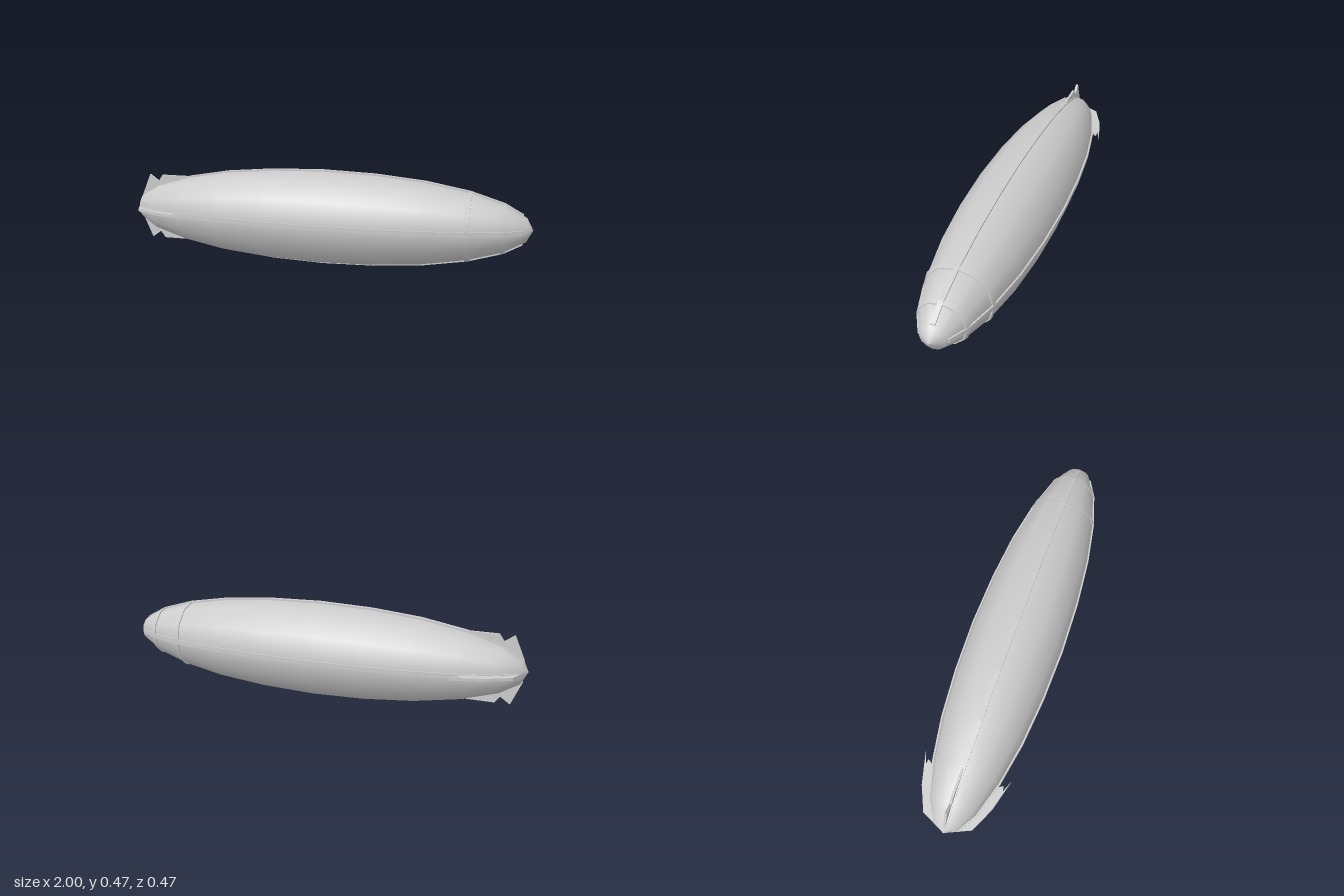
import * as THREE from 'three';

const AXIS_Y = 0.235;
// Hull profile: [x, radius]
const PROFILE = [
  [-1, 0], [-0.97, 0.06], [-0.88, 0.113], [-0.71, 0.163], [-0.5, 0.2], [-0.26, 0.222],
  [0, 0.23], [0.26, 0.222], [0.5, 0.2], [0.71, 0.163], [0.87, 0.114], [0.97, 0.058], [1, 0],
];

function radiusAt(x) {
  for (let i = 1; i < PROFILE.length; i++) {
    const [x0, r0] = PROFILE[i - 1], [x1, r1] = PROFILE[i];
    if (x <= x1) return r0 + (r1 - r0) * (x - x0) / (x1 - x0);
  }
  return 0;
}

// Twelve-sided lathe lying along x
function latheX(points) {
  const geo = new THREE.LatheGeometry(points.map(([x, r]) => new THREE.Vector2(r, x)), 12);
  return geo.rotateZ(-Math.PI / 2);
}

// Flat outline in (x, radius), given thickness and centred on its plane
function plate(points, thickness) {
  const shape = new THREE.Shape(points.map(([x, r]) => new THREE.Vector2(x, r)));
  const geo = new THREE.ExtrudeGeometry(shape, { depth: thickness, bevelEnabled: false });
  return geo.translate(0, 0, -thickness / 2);
}

export function createModel() {
  const model = new THREE.Group();
  model.name = 'airship';
  const body = new THREE.Group();
  body.name = 'body';
  body.position.y = AXIS_Y;
  model.add(body);
  const mat = new THREE.MeshStandardMaterial({ color: 0xcccccc });

  const add = (name, geo, angle = 0) => {
    const mesh = new THREE.Mesh(geo, mat);
    mesh.name = name;
    mesh.rotation.x = angle;
    body.add(mesh);
  };

  add('hull', latheX(PROFILE));

  // Raised bands around the nose
  for (const x of [0.71, 0.87]) {
    const a = x - 0.01, b = x + 0.01, lift = 0.006;
    const ra = radiusAt(a), rb = radiusAt(b);
    const corners = [[a, ra - 0.01], [a, ra + lift], [b, rb + lift], [b, rb - 0.01]];
    // Separate strips keep the band edges sharp
    for (let i = 0; i < 3; i++) add('noseBand', latheX([corners[i], corners[i + 1]]));
  }

  // Four lengthwise ribs following the hull
  const xs = [-0.96, ...PROFILE.map(p => p[0]).filter(x => Math.abs(x) < 0.96), 0.955];
  const outer = xs.map(x => [x, radiusAt(x) + 0.005]);
  const inner = xs.map(x => [x, radiusAt(x) - 0.015]).reverse();
  const rib = plate([...outer, ...inner], 0.022);
  for (let i = 0; i < 4; i++) add('rib', rib, i * Math.PI / 2);

  // Notched upright fins above and below
  const uprightFin = plate([
    [-0.69, 0.15], [-0.71, 0.166], [-0.86, 0.166], [-0.883, 0.133], [-0.93, 0.166],
    [-0.98, 0.05], [-0.9, 0.05],
  ], 0.012);
  // Swept side fins with a forward point
  const sideFin = plate([
    [-0.74, 0.14], [-0.71, 0.185], [-0.735, 0.19], [-0.68, 0.212], [-0.83, 0.172],
    [-0.945, 0.118], [-0.985, 0.03], [-0.9, 0.05],
  ], 0.014);
  for (const s of [0, 1]) {
    add('uprightFin', uprightFin, s * Math.PI);
    add('sideFin', sideFin, Math.PI / 2 + s * Math.PI);
  }
  return model;
}
